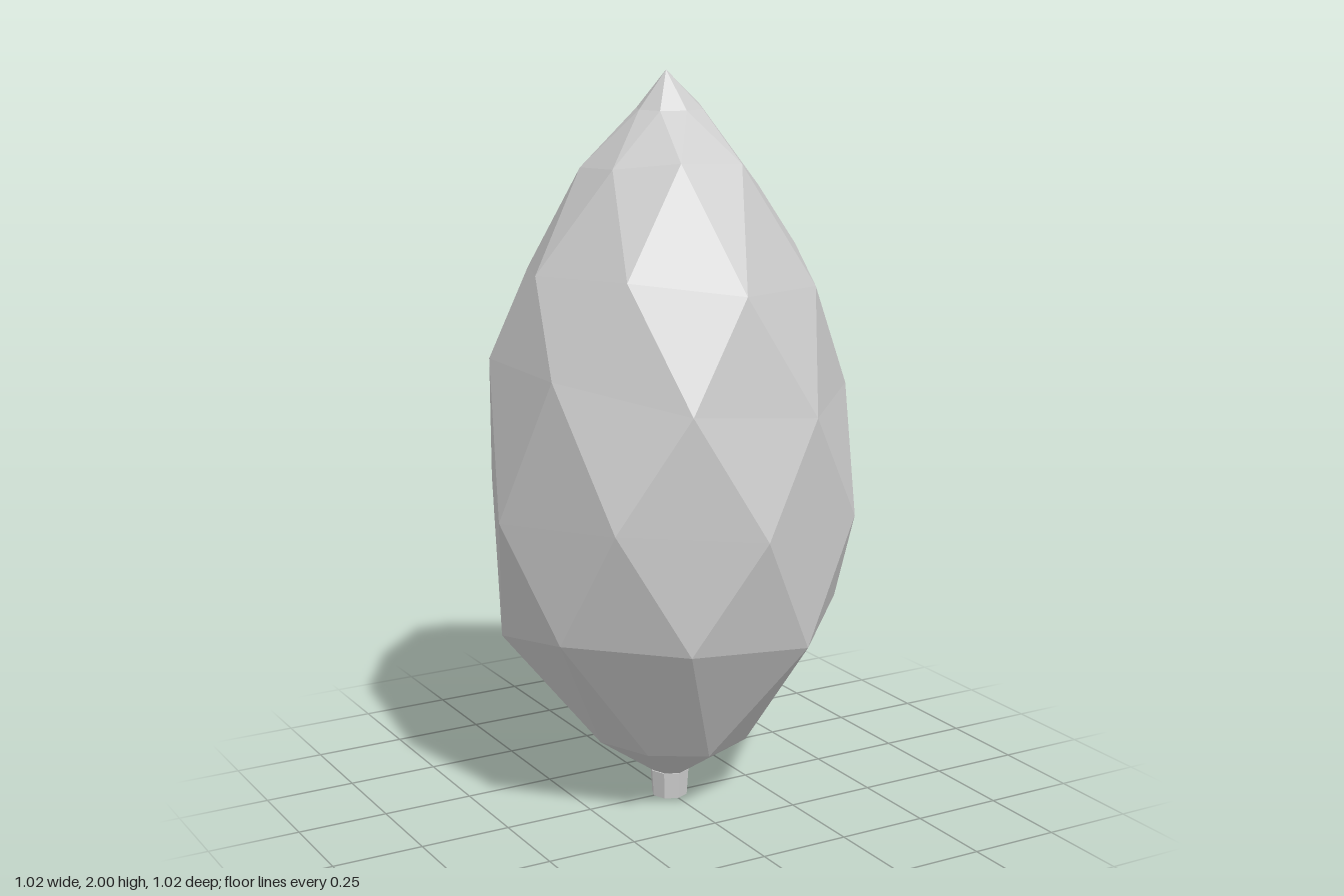
import * as THREE from 'three';

const SIDES = 8;

// Rings from top to bottom: radius and the height at each of the eight corners.
// Even rings start on +x, odd rings are turned by half a step.
const RINGS = [
  { r: 0.09, y: [1.91, 1.9, 1.9, 1.9, 1.9, 1.9, 1.91, 1.91] },
  { r: 0.235, y: [1.7, 1.77, 1.78, 1.76, 1.75, 1.77, 1.72, 1.7] },
  { r: 0.395, y: [1.52, 1.45, 1.46, 1.5, 1.49, 1.47, 1.44, 1.52] },
  { r: 0.48, y: [1.16, 1.14, 1.18, 1.25, 1.25, 1.22, 1.22, 1.2] },
  { r: 0.51, y: [0.89, 0.84, 0.85, 0.88, 0.85, 0.88, 0.91, 0.885] },
  { r: 0.46, y: [0.56, 0.52, 0.55, 0.55, 0.48, 0.48, 0.48, 0.49] },
  { r: 0.217, y: [0.155, 0.18, 0.18, 0.19, 0.19, 0.2, 0.22, 0.27] },
];

function crownGeometry() {
  const rings = RINGS.map(({ r, y }, k) => y.map((h, i) => {
    const a = ((i + (k % 2) * 0.5) / SIDES) * Math.PI * 2;
    return [r * Math.cos(a), h, r * Math.sin(a)];
  }));
  const top = [-0.01, 2, 0];
  const bottom = [0, 0.04, 0];
  const points = [];
  const tri = (a, b, c) => points.push(...a, ...b, ...c);

  for (let i = 0; i < SIDES; i++) {
    const n = (i + 1) % SIDES;
    const p = (i + SIDES - 1) % SIDES;
    // pointed tip and underside
    tri(top, rings[0][n], rings[0][i]);
    const last = rings[rings.length - 1];
    tri(bottom, last[i], last[n]);

    // staggered bands
    for (let k = 0; k < rings.length - 1; k++) {
      const U = rings[k], L = rings[k + 1];
      if (k % 2 === 0) {
        tri(U[i], L[i], L[p]);
        tri(L[i], U[i], U[n]);
      } else if (i === 0) {
        // the seam folds along the opposite diagonal, leaving notches
        tri(U[0], L[p], U[p]);
        tri(U[0], L[0], L[p]);
        tri(U[0], L[1], L[0]);
      } else {
        tri(L[i], U[p], U[i]);
        if (i < SIDES - 1) tri(U[i], L[n], L[i]);
      }
    }
  }
  const geo = new THREE.BufferGeometry();
  geo.setAttribute('position', new THREE.Float32BufferAttribute(points, 3));
  geo.computeVertexNormals();
  return geo;
}

export function createModel() {
  const group = new THREE.Group();
  group.name = 'lowPolyTree';
  const grey = new THREE.MeshStandardMaterial({ color: 0xcccccc });
  grey.name = 'light grey';
  grey.flatShading = true;

  // faceted crown
  const crown = new THREE.Mesh(crownGeometry(), grey);
  crown.name = 'crown';
  group.add(crown);

  // short trunk stub
  const trunk = new THREE.Mesh(new THREE.CylinderGeometry(0.055, 0.05, 0.075, SIDES), grey);
  trunk.name = 'trunk';
  trunk.position.y = 0.0375;
  group.add(trunk);

  return group;
}
